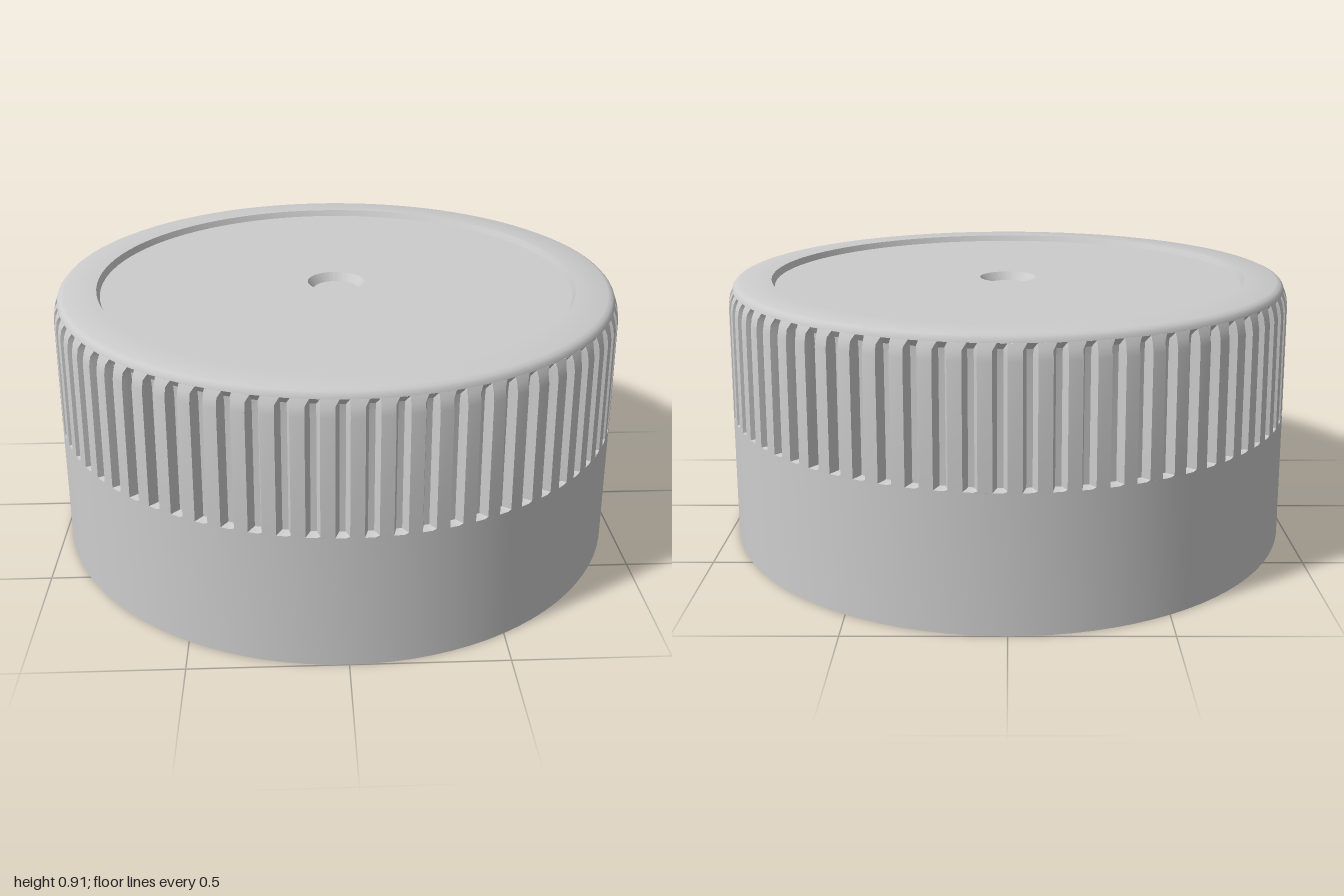
import * as THREE from 'three';
import { toCreasedNormals } from 'three/addons/utils/BufferGeometryUtils.js';

const RIBS = 72, SEG = 96, STEP = Math.PI / 6;
const mat = new THREE.MeshStandardMaterial({ color: 0xcccccc });
const thin = new THREE.MeshStandardMaterial({ color: 0xcccccc, side: THREE.DoubleSide });
const pts = (a) => a.map(([x, y]) => new THREE.Vector2(x, y));

function add(parent, name, geometry, material = mat) {
  const mesh = new THREE.Mesh(geometry, material);
  mesh.name = name;
  parent.add(mesh);
  return mesh;
}

const lathe = (profile) => toCreasedNormals(new THREE.LatheGeometry(pts(profile), SEG), 0.5);

// Ring of grip ribs: toothed cross-sections stacked from bottom to top
function gripGeometry() {
  const levels = [ // height, outer radius, groove depth
    [0.45, 0.99, 0], [0.455, 0.99, 0.03], [0.835, 0.98, 0.03],
    [0.865, 0.974, 0.022], [0.885, 0.965, 0],
  ];
  const teeth = [[0, 0], [0.5, 0], [0.64, 1], [0.86, 1]]; // fraction of pitch, groove
  const n = RIBS * teeth.length, pos = [], index = [];
  for (const [y, r, depth] of levels) {
    for (let i = 0; i < n; i++) {
      const [f, g] = teeth[i % teeth.length];
      const a = (Math.floor(i / teeth.length) + f) / RIBS * Math.PI * 2;
      const rad = r - depth * g;
      pos.push(rad * Math.sin(a), y, rad * Math.cos(a));
    }
  }
  for (let l = 0; l < levels.length - 1; l++) {
    for (let i = 0; i < n; i++) {
      const a = l * n + i, b = l * n + (i + 1) % n;
      index.push(a, b, b + n, a, b + n, a + n);
    }
  }
  const geo = new THREE.BufferGeometry();
  geo.setAttribute('position', new THREE.Float32BufferAttribute(pos, 3));
  geo.setIndex(index);
  return toCreasedNormals(geo, 0.4);
}

// Twelve boxes spaced around the axis, between two radii and two heights
function ringOfBoxes(parent, name, width, r0, r1, y0, y1, phase) {
  const group = new THREE.Group();
  group.name = name + 's';
  for (let i = 0; i < 12; i++) {
    const geo = new THREE.BoxGeometry(width, y1 - y0, r1 - r0);
    geo.translate(0, (y0 + y1) / 2, (r0 + r1) / 2);
    add(group, name, geo).rotation.y = phase + i * STEP;
  }
  parent.add(group);
}

export function createModel() {
  const cap = new THREE.Group();
  cap.name = 'screwCap';

  // Underside, inner skirt, retaining bead and plain outer band
  add(cap, 'lowerBody', lathe([
    [0, 0.322], [0.05, 0.325], [0.075, 0.34], [0.77, 0.34], // ceiling
    [0.78, 0.155], [0.81, 0.155], [0.825, 0.38], // inner skirt
    [0.93, 0.38], [0.94, 0.23], [0.905, 0.2], [0.955, 0.16], // gap and bead
    [0.98, 0], [1, 0], [0.99, 0.45],
  ]));

  add(cap, 'gripRibs', gripGeometry());

  // Rounded rim, recessed panel and centre dimple
  add(cap, 'topPanel', lathe([
    [0.965, 0.885], [0.962, 0.895], [0.954, 0.904], [0.94, 0.91], [0.832, 0.91],
    [0.822, 0.888], [0.1, 0.888], [0.08, 0.86], [0, 0.86],
  ]));

  // Conical plug of twelve segments separated by narrow notches
  const plug = new THREE.Group();
  plug.name = 'plugSegments';
  const section = pts([[0.58, 0.34], [0.47, 0.175], [0.49, 0.165], [0.625, 0.32], [0.625, 0.34]]);
  const notch = 0.18;
  for (let i = 0; i < 12; i++) {
    const start = i * STEP + notch / 2, length = STEP - notch;
    const geo = new THREE.LatheGeometry([...section, section[0]], 6, start, length);
    add(plug, 'plugSegment', toCreasedNormals(geo, 0.5), thin);
    for (const a of [start, start + length]) {
      add(plug, 'segmentEnd', new THREE.ShapeGeometry(new THREE.Shape(section)), thin)
        .rotation.y = a - Math.PI / 2;
    }
  }
  cap.add(plug);

  // Retaining tabs below the bead and webs in the gap above it
  ringOfBoxes(cap, 'retainingTab', 0.085, 0.92, 0.975, 0.05, 0.18, -0.07);
  ringOfBoxes(cap, 'gapWeb', 0.03, 0.805, 0.95, 0.24, 0.385, 0.05);

  return cap;
}
